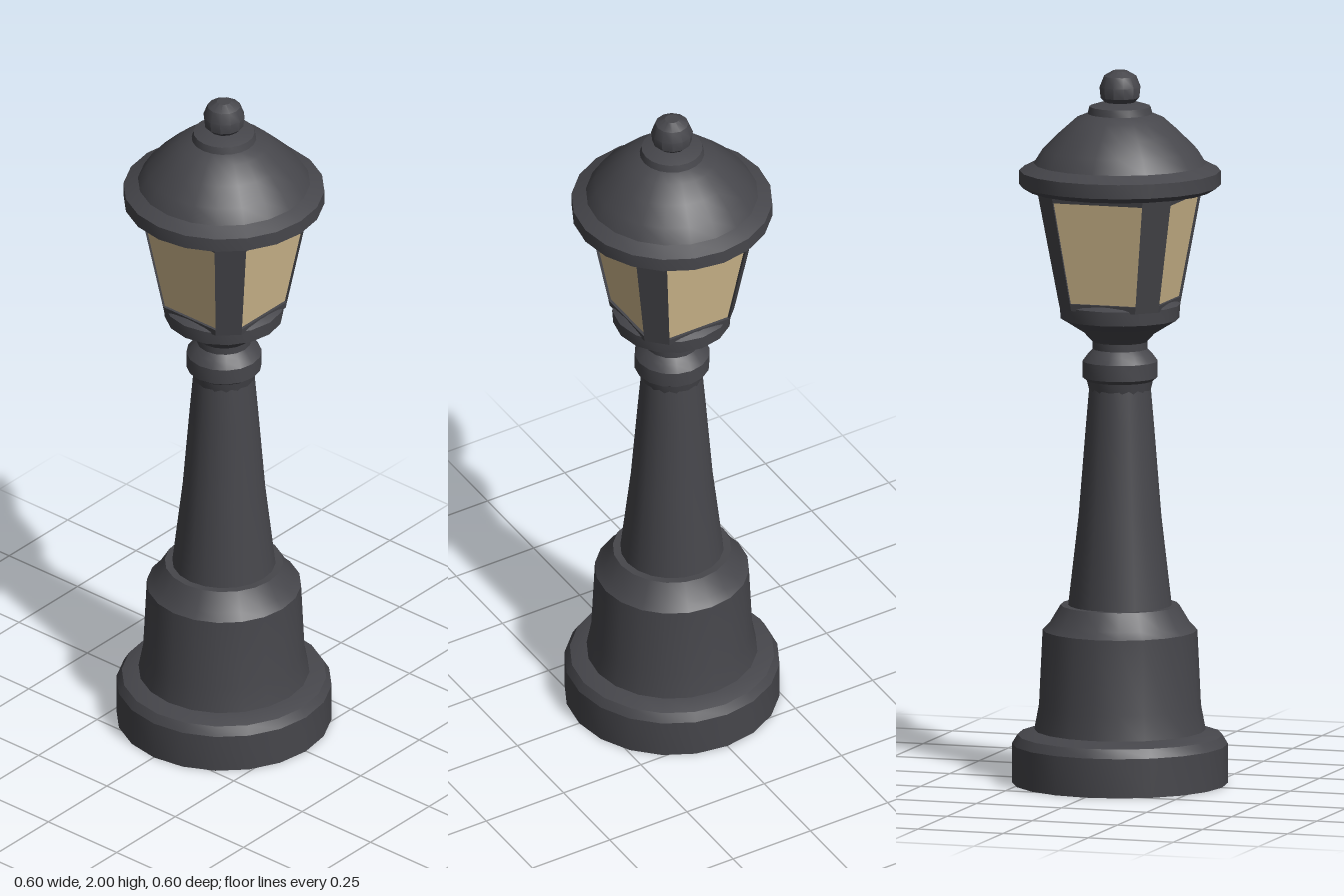
import * as THREE from 'three';
import { toCreasedNormals } from 'three/addons/utils/BufferGeometryUtils.js';
import { ConvexGeometry } from 'three/addons/geometries/ConvexGeometry.js';

export function createModel() {
  const model = new THREE.Group();
  model.name = 'streetLamp';
  const iron = new THREE.MeshStandardMaterial({ name: 'dark iron', color: 0x46464b });
  const glass = new THREE.MeshStandardMaterial({ name: 'warm glass', color: 0xd2bb8f });

  const add = (name, geometry, material, parent = model) => {
    const mesh = new THREE.Mesh(geometry, material);
    mesh.name = name;
    parent.add(mesh);
    return mesh;
  };

  // Round part turned from a [radius, height] profile, bottom to top
  const turned = (name, profile, sides = 20) => {
    const points = profile.map(([r, y]) => new THREE.Vector2(r, y));
    return add(name, toCreasedNormals(new THREE.LatheGeometry(points, sides), 0.5), iron);
  };

  turned('base', [[0, 0], [0.3, 0], [0.3, 0.11], [0.285, 0.135], [0.24, 0.15], [0, 0.15]]);
  turned('pedestal', [[0, 0.14], [0.24, 0.14], [0.225, 0.22], [0.215, 0.43],
    [0.195, 0.45], [0.165, 0.5], [0, 0.5]]);
  turned('column', [[0, 0.49], [0.145, 0.49], [0.115, 0.75], [0.095, 1], [0.083, 1.14], [0, 1.14]]);
  turned('collar', [[0, 1.1], [0.085, 1.1], [0.092, 1.13], [0.105, 1.14], [0.105, 1.185],
    [0.09, 1.205], [0.075, 1.22], [0, 1.22]], 16);
  turned('lanternCup', [[0, 1.2], [0.075, 1.2], [0.077, 1.24], [0.1, 1.265], [0.14, 1.29],
    [0.165, 1.305], [0.168, 1.345], [0.15, 1.355], [0, 1.355]], 16);
  turned('roof', [[0, 1.66], [0.255, 1.665], [0.28, 1.68], [0.28, 1.72], [0.24, 1.74],
    [0.215, 1.78], [0.17, 1.825], [0.125, 1.865], [0.09, 1.88], [0.085, 1.9],
    [0.045, 1.912], [0, 1.912]]);
  turned('finial', [[0, 1.89], [0.04, 1.89], [0.04, 1.91], [0.055, 1.925], [0.058, 1.955],
    [0.046, 1.985], [0.02, 2], [0, 2]], 12);

  // Lantern: a flared square with cut corners; size and corner position grow with height
  const lantern = new THREE.Group();
  lantern.name = 'lantern';
  model.add(lantern);
  const low = 1.34, high = 1.67;
  const at = y => {
    const t = (y - low) / (high - low);
    return { h: 0.145 + 0.052 * t, c: 0.094 + 0.04 * t };
  };
  const block = (y0, y1, inset) => {
    const points = [];
    for (const y of [y0, y1]) {
      const { h, c } = at(y);
      for (const a of [-1, 1]) for (const b of [-1, 1]) {
        points.push(new THREE.Vector3(a * c, y, b * (h - inset)),
          new THREE.Vector3(a * (h - inset), y, b * c));
      }
    }
    return new ConvexGeometry(points);
  };
  add('windowPanes', block(low, high, 0.008), glass, lantern);
  add('lowerRail', block(low, 1.36, 0), iron, lantern);
  add('upperRail', block(1.648, high, 0), iron, lantern);

  // Corner posts
  const postPoints = [];
  for (const y of [low, high]) {
    const { h, c } = at(y);
    for (const [x, z] of [[c, h], [h, c], [h - 0.03, c], [c, h - 0.03]]) {
      postPoints.push(new THREE.Vector3(x, y, z));
    }
  }
  const postGeometry = new ConvexGeometry(postPoints);
  for (let i = 0; i < 4; i++) {
    add('cornerPost', postGeometry, iron, lantern).rotation.y = i * Math.PI / 2;
  }
  return model;
}
